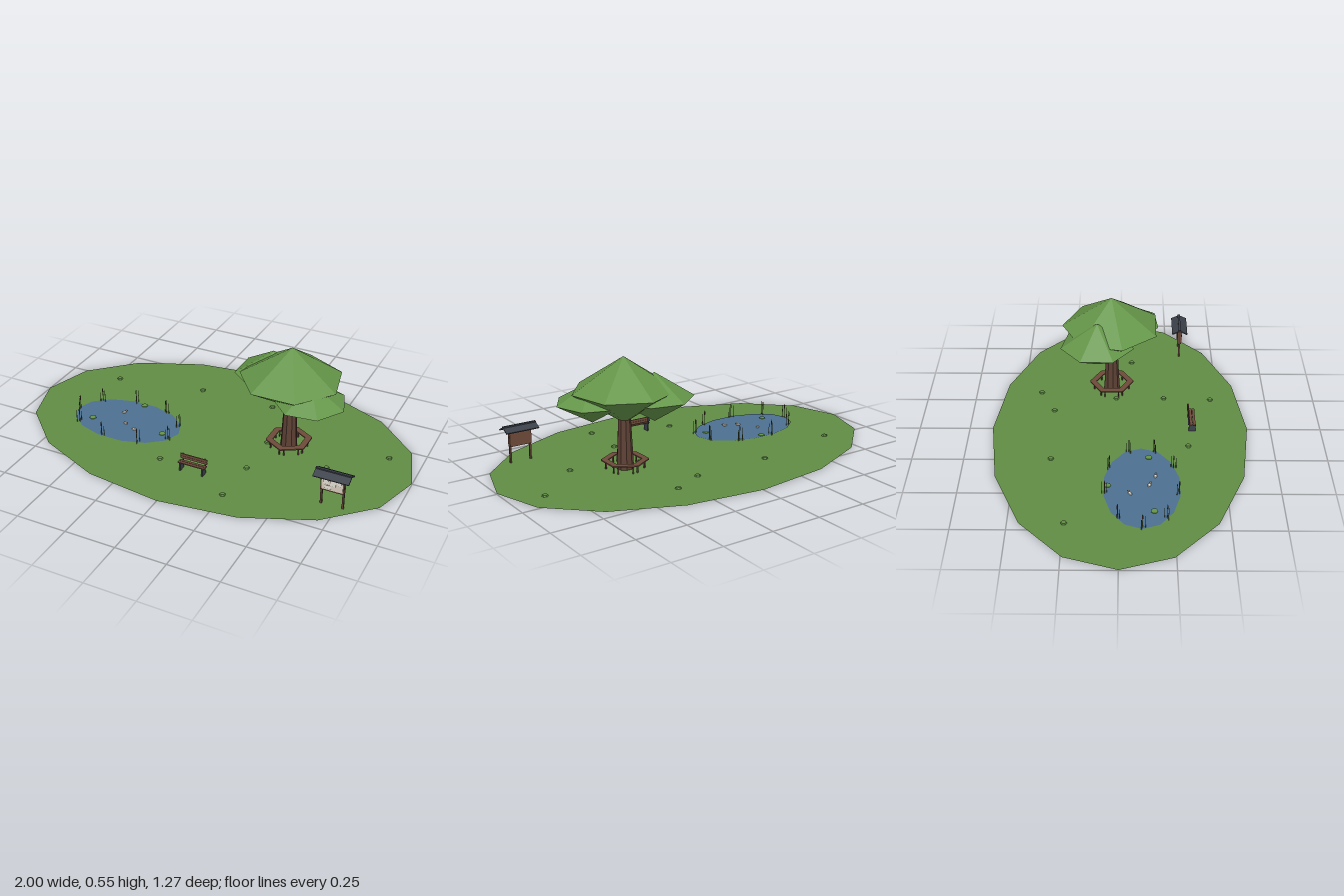
import * as THREE from 'three';

const mat = (name, color, extra = {}) => {
  const m = new THREE.MeshStandardMaterial({ color, flatShading: true, ...extra });
  m.name = name;
  return m;
};

export function createModel() {
  const M = {
    grass: mat('grass green', 0x5f8c43, { side: THREE.DoubleSide }),
    leaf: mat('leaf green', 0x649548),
    water: mat('pond blue', 0x4c7090, { side: THREE.DoubleSide }),
    bark: mat('bark brown', 0x5c4034),
    wood: mat('wood brown', 0x6e4a3a),
    slate: mat('slate grey', 0x3b4049),
    reed: mat('reed green', 0x55663a),
    cream: mat('cream', 0xd6cbbb),
    white: mat('duck white', 0xe2dfd6),
  };
  const park = new THREE.Group();
  park.name = 'park';

  const add = (parent, name, geo, material, x = 0, y = 0, z = 0) => {
    const m = new THREE.Mesh(geo, material);
    m.name = name;
    m.position.set(x, y, z);
    parent.add(m);
    return m;
  };
  const box = (p, name, m, w, h, d, x, y, z) => add(p, name, new THREE.BoxGeometry(w, h, d), m, x, y, z);
  const group = (name, x, z) => {
    const g = new THREE.Group();
    g.name = name;
    g.position.set(x, 0, z);
    park.add(g);
    return g;
  };
  const disc = (name, n, rx, rz, m, x, y, z) =>
    add(park, name, new THREE.CircleGeometry(1, n).rotateX(-Math.PI / 2).scale(rx, 1, rz), m, x, y, z);

  // Lawn and pond
  disc('lawn', 16, 1, 0.635, M.grass, 0, 0.003, 0);
  disc('pond', 14, 0.29, 0.182, M.water, -0.457, 0.006, 0.105);

  // Grass tufts
  const tufts = [[-0.71, -0.245], [-0.25, -0.33], [0.31, -0.41], [0.84, -0.15], [0.26, 0.225],
    [0.25, 0.465], [-0.145, 0.335], [0.15, -0.335], [0.26, -0.02], [0.6, 0.06], [0.03, -0.115]];
  tufts.slice(0, 10).forEach(([x, z]) =>
    add(park, 'grassTuft', new THREE.CylinderGeometry(0.012, 0.015, 0.008, 6), M.grass, x, 0.009, z));

  // Lily pads
  [[-0.45, -0.055], [-0.63, 0.16], [-0.24, 0.14]].forEach(([x, z]) =>
    add(park, 'lilyPad', new THREE.CylinderGeometry(0.017, 0.017, 0.003, 7), M.leaf, x, 0.009, z));

  // Ducks
  [[-0.51, 0.05, 0.7], [-0.45, 0.14, -0.5], [-0.385, 0.17, -0.2]].forEach(([x, z, turn]) => {
    const duck = group('duck', x, z);
    duck.rotation.y = turn;
    add(duck, 'duckBody', new THREE.SphereGeometry(1, 7, 5).scale(0.013, 0.006, 0.008), M.white, 0, 0.011, 0);
    add(duck, 'duckHead', new THREE.SphereGeometry(0.0045, 6, 4), M.white, 0.01, 0.019, 0);
    box(duck, 'duckBeak', M.bark, 0.004, 0.002, 0.003, 0.015, 0.018, 0);
  });

  // Reed clusters spaced round the pond rim
  for (let i = 0; i < 9; i++) {
    const a = (20 + i * 40) * Math.PI / 180;
    const clump = group('reeds', -0.457 + 0.28 * Math.cos(a), 0.105 + 0.175 * Math.sin(a));
    clump.rotation.y = i * 1.3;
    [[0, 0, 0.082], [0.013, 0.005, 0.072], [-0.01, 0.008, 0.06]].forEach(([x, z, h], k) => {
      add(clump, 'reedStem', new THREE.CylinderGeometry(0.0013, 0.0022, h, 4), M.reed, x, h / 2, z);
      if (k === 0) add(clump, 'reedHead', new THREE.CylinderGeometry(0.003, 0.003, 0.02, 5), M.bark, x, h - 0.016, z);
    });
  }

  // Tree: tapered trunk and three faceted crowns
  const tree = group('tree', 0.363, -0.045);
  add(tree, 'trunk', new THREE.CylinderGeometry(0.028, 0.042, 0.3, 9), M.bark, 0, 0.15, 0);
  const crown = (name, x, y, z, r, h, deg) => {
    const c = add(tree, name, new THREE.SphereGeometry(1, 7, 2).scale(r, h, r), M.leaf, x, y, z);
    c.rotation.y = deg * Math.PI / 180;
  };
  crown('mainCrown', 0, 0.385, 0, 0.25, 0.16, -90);
  crown('rearCrown', -0.123, 0.348, -0.07, 0.187, 0.118, -77);
  crown('frontCrown', 0.127, 0.33, 0.075, 0.175, 0.1, 173.5);

  // Six-sided bench round the trunk
  for (let i = 0; i < 6; i++) {
    const side = new THREE.Group();
    side.name = 'treeBenchSide';
    side.rotation.y = i * Math.PI / 3;
    tree.add(side);
    box(side, 'treeBenchSeat', M.wood, 0.03, 0.006, 0.11, 0.084, 0.043, 0);
    for (const z of [-0.035, 0.035]) box(side, 'treeBenchLeg', M.bark, 0.006, 0.04, 0.006, 0.084, 0.02, z);
  }

  // Park bench
  const bench = group('parkBench', 0.042, 0.36);
  for (const z of [-0.006, 0.009]) box(bench, 'benchSlat', M.wood, 0.14, 0.005, 0.013, 0, 0.045, z);
  for (const y of [0.06, 0.073]) box(bench, 'benchBackSlat', M.wood, 0.14, 0.012, 0.005, 0, y, -0.016);
  for (const x of [-0.058, 0.058]) {
    box(bench, 'benchLeg', M.slate, 0.008, 0.043, 0.034, x, 0.0215, 0);
    box(bench, 'benchBackPost', M.slate, 0.007, 0.04, 0.004, x, 0.06, -0.02);
  }

  // Notice board with a gabled roof
  const board = group('noticeBoard', 0.725, 0.32);
  for (const x of [-0.052, 0.052]) box(board, 'boardPost', M.bark, 0.009, 0.17, 0.009, x, 0.085, 0);
  box(board, 'boardBack', M.wood, 0.112, 0.075, 0.022, 0, 0.122, 0);
  box(board, 'boardPanel', M.cream, 0.1, 0.062, 0.004, 0, 0.123, 0.011);
  [[-0.03, 0.135, 0.024, 0.026], [0.004, 0.132, 0.026, 0.032], [0.034, 0.136, 0.018, 0.022], [-0.02, 0.107, 0.03, 0.016]]
    .forEach(([x, y, w, h]) => {
      box(board, 'noticeEdge', M.bark, w + 0.002, h + 0.002, 0.001, x, y, 0.0133);
      box(board, 'notice', M.white, w, h, 0.001, x, y, 0.0139);
    });
  for (const s of [-1, 1]) {
    const slope = box(board, 'roofSlope', M.slate, 0.17, 0.006, 0.044, 0, 0.173, s * 0.02);
    slope.rotation.x = s * 0.45;
  }
  box(board, 'roofRidge', M.slate, 0.17, 0.008, 0.012, 0, 0.185, 0);

  return park;
}
